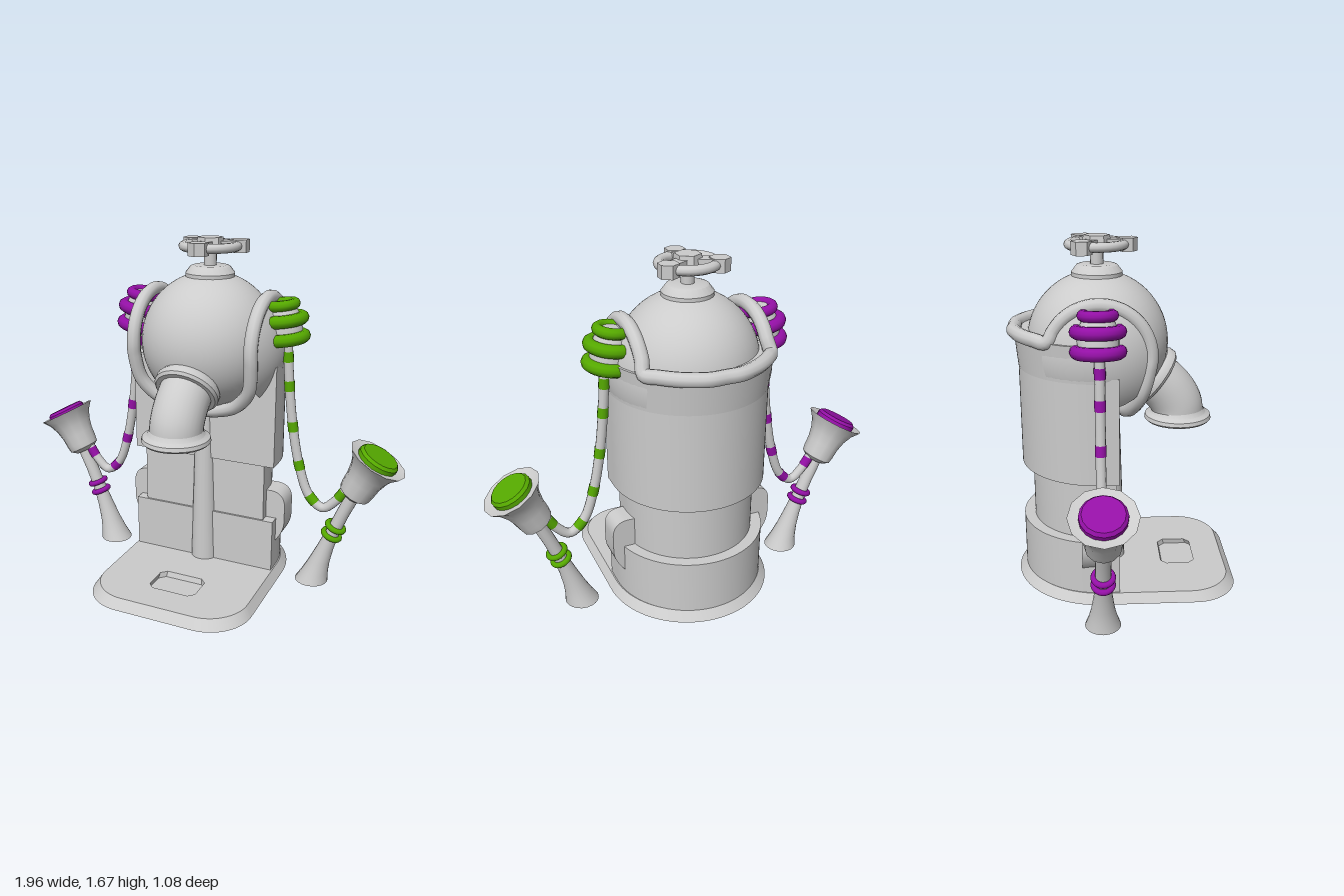
import * as THREE from 'three';
import { toCreasedNormals } from 'three/addons/utils/BufferGeometryUtils.js';

const CZ = -0.12; // depth of the vertical axis shared by tower, globe and hoses
const GLOBE_Y = 1.18;
const V = (x, y, z) => new THREE.Vector3(x, y, z);
const P = (list) => list.map(([x, y]) => new THREE.Vector2(x, y));
const paint = (color) => new THREE.MeshStandardMaterial({ color, side: THREE.DoubleSide });
const grey = paint(0xcccccc);
const green = paint(0x55a800);
const purple = paint(0x9410a6);

function add(parent, name, geometry, material = grey, x = 0, y = 0, z = 0) {
  const mesh = new THREE.Mesh(geometry, material);
  mesh.name = name;
  mesh.position.set(x, y, z);
  parent.add(mesh);
  return mesh;
}

const lathe = (points, sides = 32) =>
  toCreasedNormals(new THREE.LatheGeometry(P(points), sides), 0.6);
const ring = (radius, tube) => new THREE.TorusGeometry(radius, tube, 10, 32).rotateX(Math.PI / 2);

// Extrudes a plan outline (x, -z) upwards
function slab(shape, height) {
  return new THREE.ExtrudeGeometry(shape, { depth: height, bevelEnabled: false, curveSegments: 24 })
    .rotateX(-Math.PI / 2);
}

// Plan with a round back, straight sides and an optionally rounded front
function roundBack(r, front, corner = 0) {
  const s = new THREE.Shape();
  s.moveTo(r, -CZ);
  s.absarc(0, -CZ, r, 0, Math.PI, false);
  s.lineTo(-r, -front + corner);
  if (corner) s.absarc(-r + corner, -front + corner, corner, Math.PI, 1.5 * Math.PI, false);
  else s.lineTo(-r, -front);
  s.lineTo(r - corner, -front);
  if (corner) s.absarc(r - corner, -front + corner, corner, 1.5 * Math.PI, 2 * Math.PI, false);
  s.closePath();
  return s;
}

function buildBase(model) {
  // Plate with sloping edge and a shallow recess
  const plan = roundBack(0.41, 0.54, 0.21);
  const hole = new THREE.Path();
  hole.setFromPoints(P([[-0.1, -0.2], [0.1, -0.2], [0.13, -0.23], [0.13, -0.35],
    [0.1, -0.38], [-0.1, -0.38], [-0.13, -0.35], [-0.13, -0.23]]));
  plan.holes.push(hole);
  const plate = slab(plan, 0.045);
  const pos = plate.attributes.position;
  for (let i = 0; i < pos.count; i++) {
    if (pos.getY(i) > 0.02) {
      pos.setX(i, pos.getX(i) * 0.93);
      pos.setZ(i, pos.getZ(i) * 0.93);
    }
  }
  add(model, 'basePlate', toCreasedNormals(plate, 0.5));
  add(model, 'recessFloor', new THREE.BoxGeometry(0.3, 0.016, 0.22), grey, 0, 0.01, 0.28);
}

function buildTower(model) {
  const sections = [
    ['lowerTower', 0.375, -0.035, 0.04, 0.31],
    ['middleTower', 0.322, -0.045, 0.3, 0.61],
    ['upperTower', 0.373, -0.035, 0.6, 1.1],
  ];
  for (const [name, r, front, y0, y1] of sections) {
    add(model, name, toCreasedNormals(slab(roundBack(r, front), y1 - y0), 0.5), grey, 0, y0, 0);
  }
  // Flared back collar under the rim
  add(model, 'backCollar',
    new THREE.CylinderGeometry(0.39, 0.374, 0.17, 32, 1, false, Math.PI / 2, Math.PI), grey, 0, 1.165, CZ);
  // Tapered column on the flat front
  add(model, 'frontColumn', new THREE.CylinderGeometry(0.045, 0.07, 0.86, 20), grey, 0, 0.47, -0.065);

  // Rounded side lugs
  for (const s of [1, -1]) {
    const lug = new THREE.Shape();
    lug.moveTo(s * 0.28, 0.17);
    lug.lineTo(s * 0.36, 0.17);
    lug.quadraticCurveTo(s * 0.415, 0.23, s * 0.418, 0.29);
    lug.lineTo(s * 0.418, 0.38);
    lug.quadraticCurveTo(s * 0.415, 0.45, s * 0.35, 0.455);
    lug.lineTo(s * 0.28, 0.455);
    lug.closePath();
    const geo = new THREE.ExtrudeGeometry(lug, { depth: 0.12, bevelEnabled: false, curveSegments: 8 });
    add(model, 'sideLug', toCreasedNormals(geo, 0.5), grey, 0, 0, -0.21);
  }
}

function buildGlobe(model) {
  add(model, 'globe', new THREE.SphereGeometry(0.33, 48, 32), grey, 0, GLOBE_Y, CZ);
  for (const s of [1, -1]) {
    add(model, 'shoulderCap',
      new THREE.SphereGeometry(0.385, 40, 14, 0, Math.PI * 2, 0, 0.7).rotateZ(-s * Math.PI / 2),
      grey, 0, GLOBE_Y, CZ);
  }
  // Rim: round the back, arching over each shoulder, meeting under the globe
  const half = [];
  for (let i = 1; i <= 5; i++) {
    const a = i / 5 * 0.927;
    half.push(V(0.375 * Math.sin(a), 1.25, CZ - 0.02 * (1 - i / 5) - 0.375 * Math.cos(a)));
  }
  for (let i = 1; i <= 12; i++) {
    const a = 0.3 + i / 12 * (Math.PI - 0.05);
    half.push(V(0.295, GLOBE_Y + 0.228 * Math.sin(a), CZ - 0.228 * Math.cos(a)));
  }
  half.push(V(0.275, 1.0, 0.07), V(0.2, 0.91, 0.03), V(0.1, 0.868, 0));
  const mirrored = half.map((p) => V(-p.x, p.y, p.z)).reverse();
  const path = new THREE.CatmullRomCurve3(
    [V(0, 1.25, -0.505), ...half, V(0, 0.855, -0.01), ...mirrored], true);
  add(model, 'globeRim', new THREE.TubeGeometry(path, 240, 0.033, 10, true));
}

function buildSpout(model) {
  const path = new THREE.CatmullRomCurve3(
    [V(0, 1.06, 0.06), V(0, 1.0, 0.145), V(0, 0.935, 0.215), V(0, 0.865, 0.257), V(0, 0.79, 0.265)]);
  add(model, 'spoutElbow', new THREE.TubeGeometry(path, 28, 0.125, 28));
  const collar = add(model, 'spoutCollar',
    lathe([[0.11, -0.03], [0.147, -0.03], [0.156, -0.015], [0.156, 0.012], [0.145, 0.025], [0.11, 0.025]]),
    grey, 0, 1.0, 0.145);
  collar.quaternion.setFromUnitVectors(V(0, 1, 0), V(0, -0.61, 0.79));
  add(model, 'spoutLip',
    lathe([[0.115, 0], [0.152, 0], [0.162, 0.01], [0.158, 0.028], [0.135, 0.04], [0.124, 0.06]]),
    grey, 0, 0.783, 0.265);
}

function buildValve(model) {
  const valve = new THREE.Group();
  valve.name = 'valve';
  valve.position.z = CZ;
  model.add(valve);
  add(valve, 'valveCollar',
    lathe([[0.118, 1.46], [0.118, 1.505], [0.095, 1.535], [0.08, 1.54], [0, 1.54]], 24));
  add(valve, 'valveStem', new THREE.CylinderGeometry(0.03, 0.03, 0.14, 16), grey, 0, 1.59, 0);
  add(valve, 'wheelRing', ring(0.125, 0.025).scale(1, 0.9, 1), grey, 0, 1.628, 0);
  add(valve, 'wheelHub', toCreasedNormals(new THREE.CylinderGeometry(0.06, 0.07, 0.065, 6), 0.3), grey, 0, 1.637, 0);
  // Three spokes with blocky grips
  for (let i = 0; i < 3; i++) {
    const spoke = new THREE.Group();
    spoke.name = 'wheelSpoke';
    spoke.rotation.y = i * Math.PI * 2 / 3;
    valve.add(spoke);
    add(spoke, 'spokeBar', new THREE.BoxGeometry(0.06, 0.04, 0.12), grey, 0, 1.632, 0.08);
    add(spoke, 'spokeGrip',
      toCreasedNormals(new THREE.CylinderGeometry(0.048, 0.048, 0.06, 6), 0.3), grey, 0, 1.627, 0.138);
  }
}

function buildHose(model, s, color) {
  // Shoulder coil
  const coil = new THREE.Group();
  coil.name = 'hoseCoil';
  coil.position.set(s * 0.365, 1.29, CZ - 0.005);
  coil.rotation.z = s * 0.13;
  model.add(coil);
  add(coil, 'coilCore',
    lathe([[0, -0.1], [0.06, -0.1], [0.09, -0.06], [0.09, 0.02], [0.07, 0.07], [0.05, 0.1], [0, 0.1]], 24));
  for (const [y, r, t] of [[0.09, 0.065, 0.025], [0.022, 0.094, 0.03], [-0.064, 0.094, 0.03]]) {
    add(coil, 'coilRing', ring(r, t), color, 0, y, 0);
  }

  // Hanging hose with coloured bands
  const path = new THREE.CatmullRomCurve3(
    [[0.395, 1.22], [0.402, 1.1], [0.43, 0.83], [0.475, 0.6], [0.53, 0.455], [0.6, 0.4],
      [0.665, 0.45], [0.735, 0.56]].map(([x, y]) => V(s * x, y, CZ)));
  add(model, 'hose', new THREE.TubeGeometry(path, 80, 0.023, 12));
  for (const t of [0.075, 0.205, 0.39, 0.57, 0.74, 0.92]) {
    const points = [-1, 0, 1].map((k) => path.getPointAt(t + k * 0.023));
    add(model, 'hoseBand',
      new THREE.TubeGeometry(new THREE.CatmullRomCurve3(points), 8, 0.0255, 12), color);
  }

  // Leaning flared leg
  const leanX = (y) => s * (0.563 + 0.3 * y + 0.15 * y * y);
  const leg = new THREE.LatheGeometry(P([[0, 0], [0.082, 0], [0.066, 0.05], [0.053, 0.11], [0.042, 0.19],
    [0.035, 0.27], [0.034, 0.38], [0.036, 0.5]]), 20);
  const pos = leg.attributes.position;
  for (let i = 0; i < pos.count; i++) pos.setX(i, pos.getX(i) + leanX(pos.getY(i)));
  add(model, 'standLeg', toCreasedNormals(leg, 0.8), grey, 0, 0, CZ);
  for (const y of [0.265, 0.312]) {
    add(model, 'legRing', ring(0.041, 0.014), color, leanX(y), y, CZ).rotation.z = -s * 0.4;
  }

  // Flared cup with a coloured plug
  const cup = new THREE.Group();
  cup.name = 'cup';
  cup.position.set(s * 0.752, 0.505, CZ);
  cup.rotation.z = -s * 0.49;
  model.add(cup);
  add(cup, 'cupBody',
    lathe([[0, -0.025], [0.05, -0.02], [0.078, 0], [0.083, 0.03], [0.086, 0.08], [0.097, 0.13], [0.116, 0.175],
      [0.145, 0.213], [0.1, 0.2], [0, 0.2]], 12));
  add(cup, 'cupPlug',
    lathe([[0.1, 0.19], [0.1, 0.222], [0.088, 0.236], [0, 0.236]], 16), color);
}

export function createModel() {
  const model = new THREE.Group();
  model.name = 'pumpStation';
  buildBase(model);
  buildTower(model);
  buildGlobe(model);
  buildSpout(model);
  buildValve(model);
  buildHose(model, 1, green);
  buildHose(model, -1, purple);
  return model;
}
